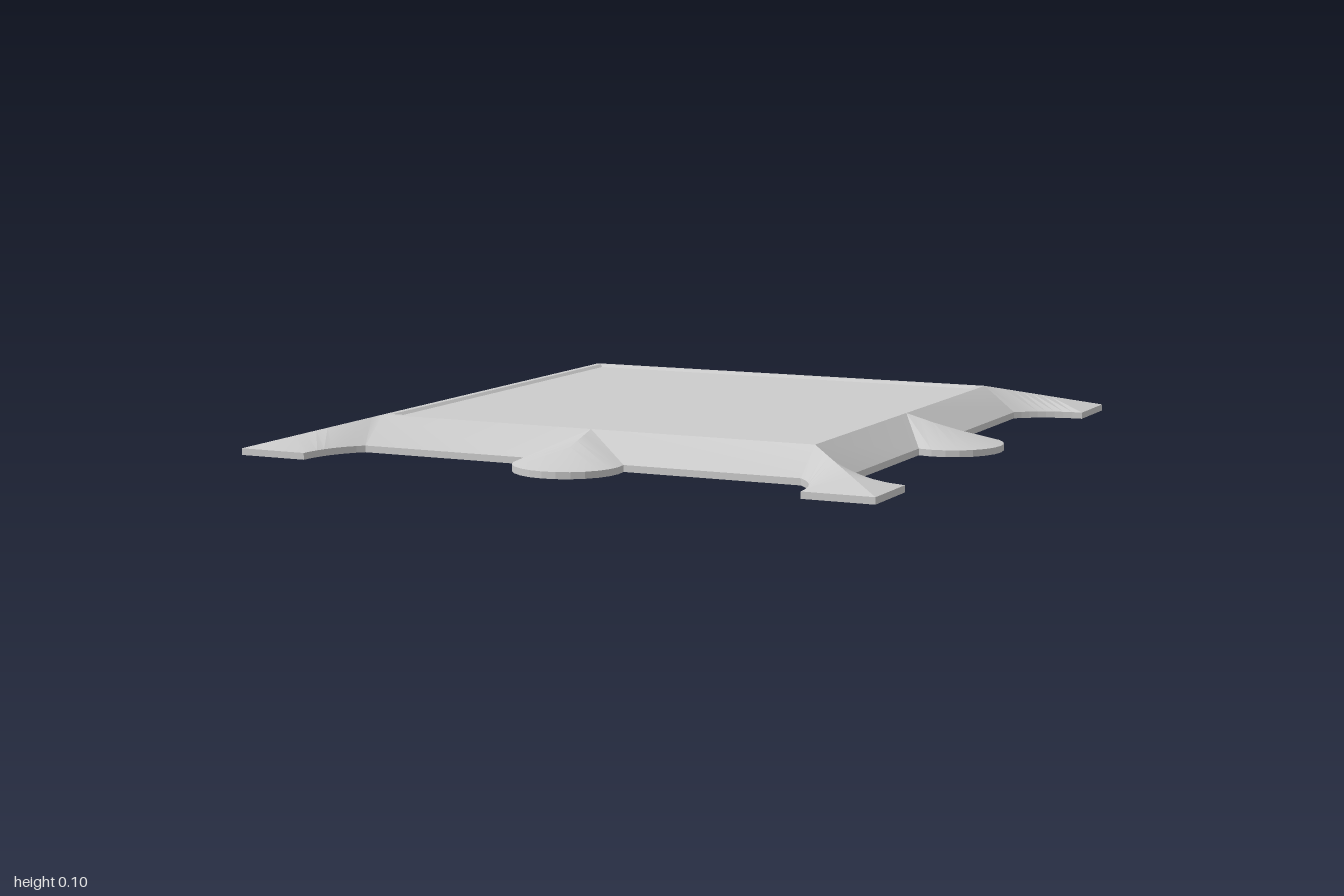
import * as THREE from 'three';
import { toCreasedNormals } from 'three/addons/utils/BufferGeometryUtils.js';

const BASE = 0.02, TOP = 0.1, INNER = 0.7;

// Half of one side, from the tab's tip to the corner's tip: [outline point, inner ridge point]
function halfSide() {
  const pairs = [];
  const mix = THREE.MathUtils.lerp;
  const n = 7, end = Math.acos(-0.25);
  for (let i = 0; i <= n; i++) { // round tab
    const a = end * i / n, z = mix(1, INNER, i / n);
    pairs.push([
      new THREE.Vector3(0.16 * Math.sin(a), BASE, 0.84 + 0.16 * Math.cos(a)),
      new THREE.Vector3(0, mix(BASE, TOP, i / n), z)]);
  }
  const bite = new THREE.QuadraticBezierCurve(
    new THREE.Vector2(0.7, 0.8), new THREE.Vector2(0.78, 0.875), new THREE.Vector2(0.785, 1));
  for (let i = 0; i <= 8; i++) { // concave flank of the corner
    const p = bite.getPoint(i / 8), r = mix(INNER, 0.89, i / 8);
    pairs.push([
      new THREE.Vector3(p.x, BASE, p.y),
      new THREE.Vector3(r, mix(TOP, BASE, (r - INNER) / (1 - INNER)), r)]);
  }
  const tip = new THREE.Vector3(1, BASE, 1);
  pairs.push([tip, tip]);
  return pairs;
}

// Strip of triangles between outline and ridge, facing up
function strip(pairs) {
  const pts = [];
  const tri = (a, b, c) => {
    if (new THREE.Triangle(a, b, c).getArea() > 1e-7) pts.push(a, b, c);
  };
  for (let i = 0; i < pairs.length - 1; i++) {
    const [o0, r0] = pairs[i], [o1, r1] = pairs[i + 1];
    tri(o0, o1, r0);
    tri(o1, r1, r0);
  }
  return toCreasedNormals(new THREE.BufferGeometry().setFromPoints(pts), 0.4);
}

export function createModel() {
  const group = new THREE.Group();
  const material = new THREE.MeshStandardMaterial({ color: 0xcccccc });
  const add = (name, geometry) => {
    const mesh = new THREE.Mesh(geometry, material);
    mesh.name = name;
    group.add(mesh);
    return mesh;
  };

  const half = halfSide();
  const flip = v => new THREE.Vector3(-v.x, v.y, v.z);
  const side = [...half.slice(1).reverse().map(p => p.map(flip)), ...half];

  // Sloping borders with half a corner at each end and a ridged tab in the middle
  const slope = strip(side);
  const outline = [];
  ['front', 'left', 'back', 'right'].forEach((name, k) => {
    const angle = k * Math.PI / 2;
    add(name + 'Slope', slope).rotation.y = angle;
    side.slice(0, -1).forEach(([o]) => {
      const p = o.clone().applyAxisAngle(new THREE.Vector3(0, 1, 0), angle);
      outline.push(new THREE.Vector2(p.x, -p.z));
    });
  });

  // Thin base slab following the outline
  const slab = new THREE.ExtrudeGeometry(new THREE.Shape(outline), { depth: BASE, bevelEnabled: false });
  add('baseSlab', slab.rotateX(-Math.PI / 2));

  // Square rim stepping down to the recessed top panel
  const ring = [[0.7, TOP], [0.68, TOP], [0.67, 0.092]];
  const corners = [[-1, 1], [1, 1], [1, -1], [-1, -1], [-1, 1]];
  for (let i = 0; i < 2; i++) {
    const at = ([s, y], [x, z]) => new THREE.Vector3(x * s, y, z * s);
    add(i ? 'rimBevel' : 'rim', strip(corners.map(c => [at(ring[i], c), at(ring[i + 1], c)])));
  }
  const panel = new THREE.PlaneGeometry(1.34, 1.34).rotateX(-Math.PI / 2);
  add('topPanel', panel).position.y = 0.092;

  return group;
}
